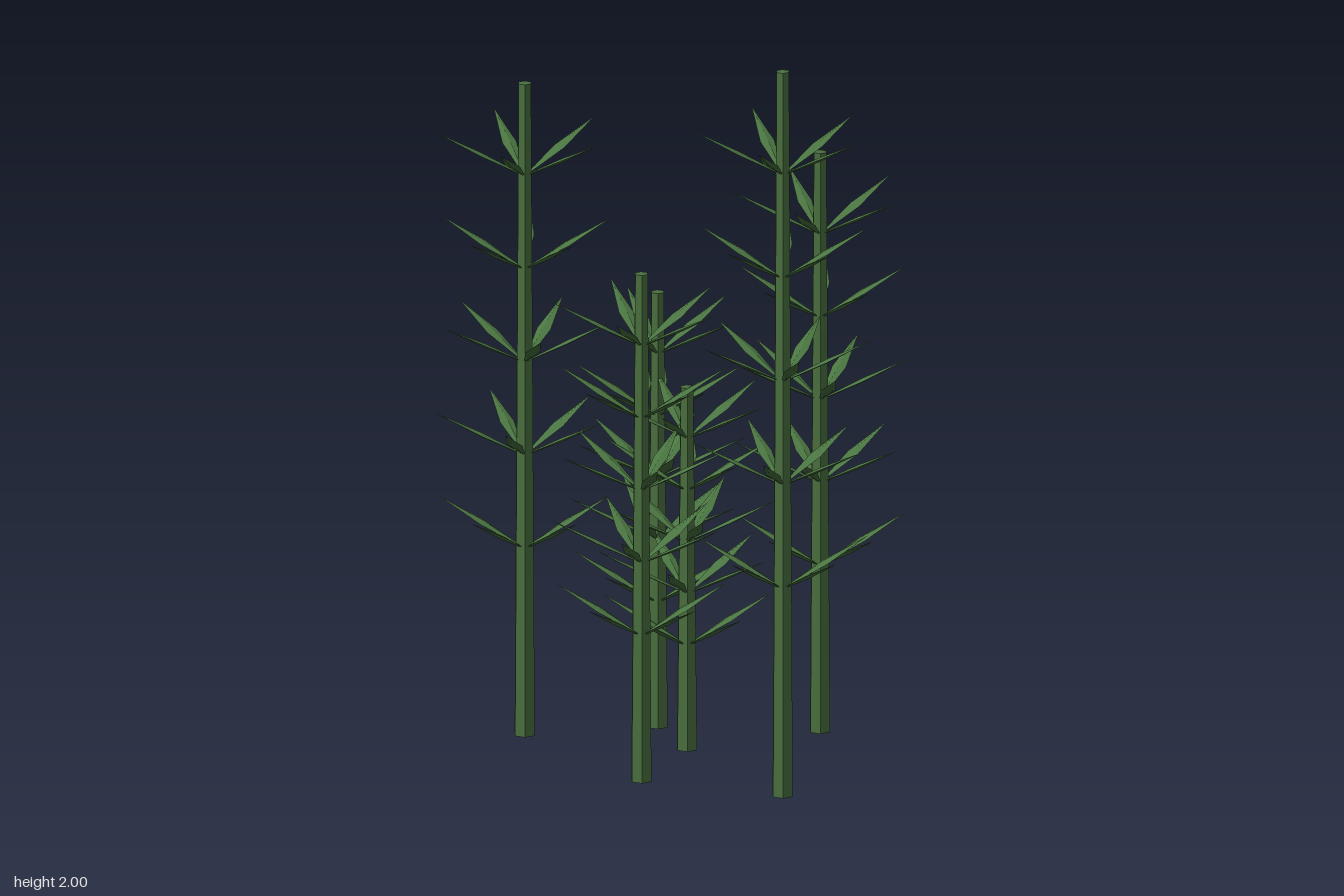
import * as THREE from 'three';

const STALKS = 6, WHORLS = 5, LEAVES = 5;

// Slim kite-shaped leaf along +x: diamond cross-sections, pointed at both ends
function leafGeometry() {
  const length = 0.235, rise = 0.122;
  const sections = [[0, 0.002, 0.002], [0.5, 0.02, 0.006], [1, 0.0005, 0.0005]];
  const pos = [], idx = [];
  for (const [t, w, h] of sections) {
    const x = t * length, y = t * rise;
    pos.push(x, y, w, x, y + h, 0, x, y, -w, x, y - h, 0);
  }
  for (let s = 0; s < sections.length - 1; s++) {
    for (let k = 0; k < 4; k++) {
      const a = s * 4 + k, b = s * 4 + (k + 1) % 4;
      idx.push(a, a + 4, b, b, a + 4, b + 4);
    }
  }
  const indexed = new THREE.BufferGeometry();
  indexed.setAttribute('position', new THREE.Float32BufferAttribute(pos, 3));
  indexed.setIndex(idx);
  const geo = indexed.toNonIndexed();
  geo.computeVertexNormals();
  return geo;
}

export function createModel() {
  const stalkGreen = new THREE.MeshStandardMaterial({ color: 0x4a7040 });
  stalkGreen.name = 'stalkGreen';
  stalkGreen.flatShading = true;
  const leafGreen = new THREE.MeshStandardMaterial({ color: 0x4a7541, side: THREE.DoubleSide });
  leafGreen.name = 'leafGreen';
  leafGreen.flatShading = true;

  const model = new THREE.Group();
  model.name = 'bambooGrove';
  const leafGeo = leafGeometry();

  // Stalks spread on a golden-angle spiral, each taller than the last
  for (let i = 0; i < STALKS; i++) {
    const height = 1 + i * 0.2;
    const r = 0.225 * Math.sqrt(i), a = i * 2.4;
    const plant = new THREE.Group();
    plant.name = 'plant' + (i + 1);
    plant.position.set(r * Math.cos(a) + 0.008, 0, -r * Math.sin(a) - 0.002);

    // Six-sided tapering stalk with corners on the x axis
    const stalk = new THREE.Mesh(new THREE.CylinderGeometry(0.019, 0.03, height, 6), stalkGreen);
    stalk.name = 'stalk';
    stalk.position.y = height / 2;
    stalk.rotation.y = Math.PI / 2;
    plant.add(stalk);

    // Whorls of five leaves, each turned a little from the one below
    for (let k = 2; k < WHORLS + 2; k++) {
      const whorl = new THREE.Group();
      whorl.name = 'leafWhorl';
      whorl.position.y = height * k / 7;
      whorl.rotation.y = 0.4 * k;
      for (let j = 0; j < LEAVES; j++) {
        const leaf = new THREE.Mesh(leafGeo, leafGreen);
        leaf.name = 'leaf';
        leaf.rotation.y = j * Math.PI * 2 / LEAVES;
        whorl.add(leaf);
      }
      plant.add(whorl);
    }
    model.add(plant);
  }
  return model;
}
